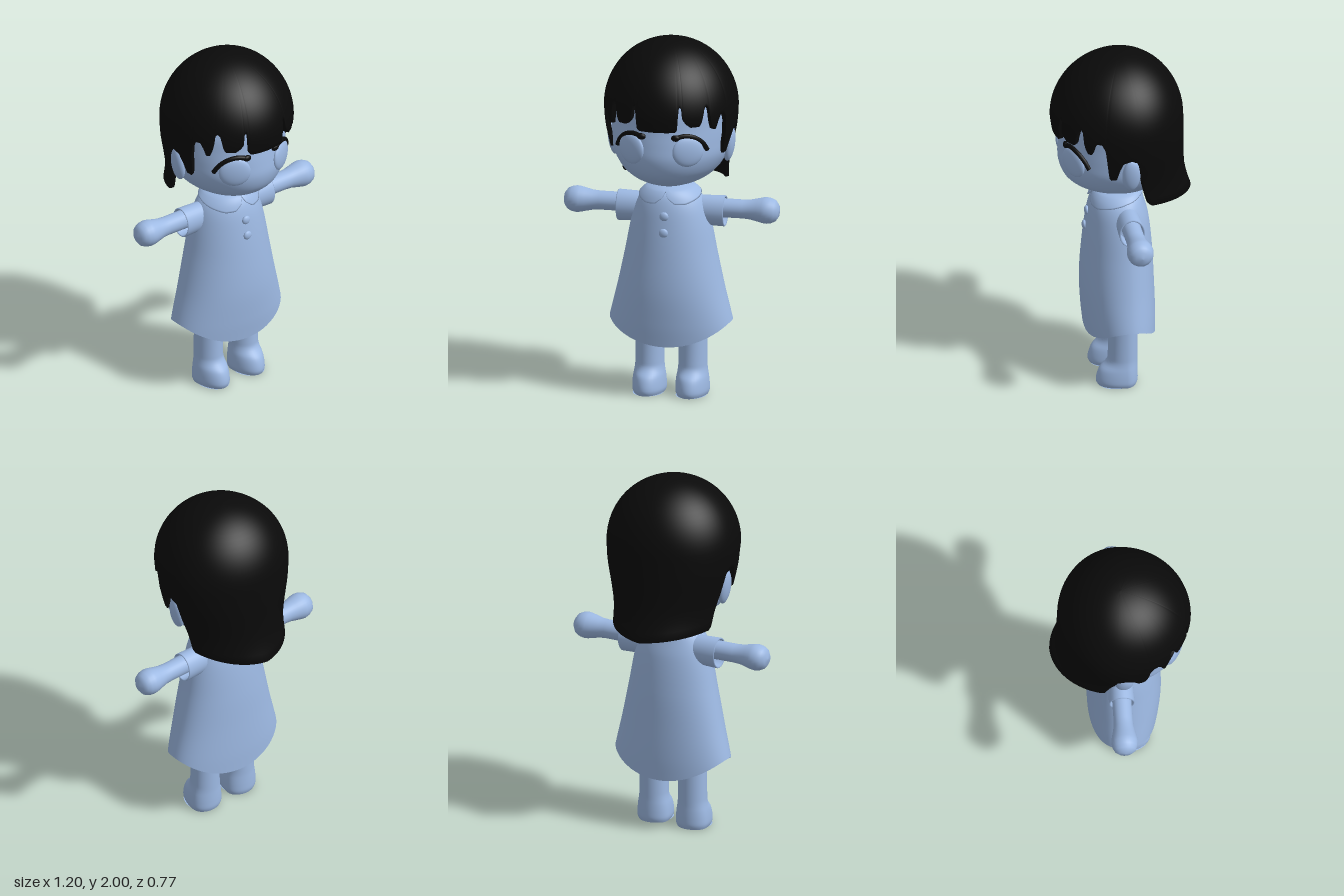
import * as THREE from 'three';

const skin = new THREE.MeshStandardMaterial({ color: 0x9db9e3, side: THREE.DoubleSide });
const black = new THREE.MeshStandardMaterial({ color: 0x0a0a0a, side: THREE.DoubleSide });

// Interpolates rows of [key, ...values]; smooth uses Hermite tangents
function interp(rows, k, smooth = true) {
  const last = rows.length - 1;
  const up = rows[0][0] < rows[last][0] ? 1 : -1;
  if ((k - rows[0][0]) * up <= 0) return rows[0].slice(1);
  if ((k - rows[last][0]) * up >= 0) return rows[last].slice(1);
  let i = 0;
  while ((k - rows[i + 1][0]) * up > 0) i++;
  const p = rows[i], q = rows[i + 1], h = q[0] - p[0], t = (k - p[0]) / h;
  const o = rows[Math.max(i - 1, 0)], r = rows[Math.min(i + 2, last)];
  return p.slice(1).map((v, n) => {
    const a = v, b = q[n + 1];
    if (!smooth) return a + (b - a) * t;
    const m0 = (b - o[n + 1]) / (q[0] - o[0]) * h, m1 = (r[n + 1] - a) / (r[0] - p[0]) * h;
    const t2 = t * t, t3 = t2 * t;
    return a * (2 * t3 - 3 * t2 + 1) + m0 * (t3 - 2 * t2 + t) + b * (3 * t2 - 2 * t3) + m1 * (t3 - t2);
  });
}

// Surface hanging from height top to hem(angle); profile(y) gives [half width, front z, back z].
// A thickness below 1 adds an inner layer scaled by that factor.
function drape({ profile, top, hem, cols = 64, rows = 24, inner = 0, ease = t => t }) {
  const pos = [], idx = [];
  const levels = [];
  for (let i = 0; i <= rows; i++) levels.push([i / rows, 1, 0]);
  if (inner) for (let i = rows; i >= 0; i -= 2) levels.push([i / rows, inner, 0.03 * (1 - i / rows)]);
  levels.forEach(([t, s, drop], i) => {
    for (let j = 0; j < cols; j++) {
      const a = (j / cols * 2 - 1) * Math.PI;
      const y = top - (top - hem(Math.abs(a))) * ease(t);
      const [w, zf, zb] = profile(y);
      const c = Math.cos(a);
      const mid = Math.abs(c) * (c > 0 ? zf : -zb) * Math.sign(c);
      pos.push(w * Math.sin(a) * s, y - drop, mid * s);
      if (i < levels.length - 1) {
        const k = (j + 1) % cols, A = i * cols, B = A + cols;
        idx.push(A + j, B + j, B + k, A + j, B + k, A + k);
      }
    }
  });
  const g = new THREE.BufferGeometry();
  g.setAttribute('position', new THREE.Float32BufferAttribute(pos, 3));
  g.setIndex(idx);
  g.computeVertexNormals();
  return g;
}

const headRows = [
  [1.92, 0.01, 0.01, -0.01], [1.85, 0.2, 0.2, -0.2], [1.75, 0.28, 0.28, -0.28], [1.65, 0.32, 0.315, -0.31],
  [1.55, 0.325, 0.325, -0.31], [1.46, 0.322, 0.338, -0.3], [1.38, 0.312, 0.343, -0.29], [1.3, 0.27, 0.318, -0.26],
  [1.25, 0.22, 0.27, -0.22], [1.22, 0.17, 0.215, -0.18], [1.2, 0.12, 0.16, -0.14], [1.18, 0.05, 0.07, -0.07]];
const headProfile = y => interp(headRows, y);
const faceZ = (x, y) => {
  const [w, zf] = headProfile(y);
  return zf * Math.sqrt(Math.max(0, 1 - (x / w) ** 2));
};

// Hair: domed crown above 1.63, straight fall below
const hairRows = [
  [1.63, 0.367, 0.385, -0.342], [1.56, 0.363, 0.375, -0.344], [1.5, 0.355, 0.365, -0.345], [1.4, 0.332, 0.35, -0.345],
  [1.3, 0.312, 0.34, -0.35], [1.22, 0.308, 0.34, -0.366], [1.155, 0.31, 0.34, -0.386]];
function hairProfile(y) {
  if (y <= 1.63) return interp(hairRows, y);
  const f = Math.sqrt(Math.max(0, 1 - ((y - 1.63) / 0.37) ** 2));
  return hairRows[0].slice(1).map(v => v * f);
}
// Hem by angle from the front: fringe, slots, side locks, ear arch, long back
const hairHem = [
  [0, 1.56], [0.28, 1.562], [0.32, 1.58], [0.335, 1.69], [0.36, 1.705], [0.39, 1.69], [0.405, 1.63], [0.46, 1.605],
  [0.52, 1.588], [0.66, 1.588], [0.7, 1.61], [0.75, 1.685], [0.79, 1.7], [0.83, 1.685], [0.86, 1.6], [0.9, 1.56],
  [0.96, 1.56], [1.0, 1.6], [1.05, 1.635], [1.13, 1.635], [1.18, 1.6], [1.2, 1.5], [1.22, 1.41], [1.25, 1.395],
  [1.34, 1.4], [1.39, 1.47], [1.44, 1.515], [1.56, 1.53], [1.68, 1.51], [1.72, 1.4], [1.85, 1.215], [1.9, 1.198],
  [Math.PI, 1.155]];

const dressRows = [
  [1.175, 0.08, 0.09, -0.09], [1.155, 0.13, 0.135, -0.11], [1.1, 0.18, 0.168, -0.125], [1.0, 0.215, 0.19, -0.15],
  [0.8, 0.255, 0.212, -0.17], [0.6, 0.298, 0.222, -0.178], [0.42, 0.342, 0.213, -0.182], [0.3, 0.365, 0.2, -0.18]];
const dressProfile = y => interp(dressRows, y);
const collarHem = [[0, 1.165], [0.1, 1.13], [0.3, 1.1], [0.6, 1.098], [1, 1.115], [1.6, 1.14], [2.4, 1.155], [Math.PI, 1.155]];

const legRows = [
  [0.5, 0.078, 0.09, -0.07], [0.16, 0.08, 0.092, -0.07], [0.13, 0.083, 0.105, -0.07], [0.1, 0.088, 0.135, -0.071],
  [0.06, 0.092, 0.152, -0.072], [0.02, 0.092, 0.157, -0.071], [0, 0.084, 0.148, -0.064]];

export function createModel() {
  const model = new THREE.Group();
  const add = (name, geometry, material = skin, parent = model) => {
    const m = new THREE.Mesh(geometry, material);
    m.name = name;
    parent.add(m);
    return m;
  };
  const lathe = pts => new THREE.LatheGeometry(pts.map(p => new THREE.Vector2(...p)), 32);
  const ball = new THREE.SphereGeometry(1, 32, 20);

  // Head, neck and hair
  add('head', drape({ profile: headProfile, top: 1.92, hem: () => 1.18, rows: 40 }));
  add('neck', new THREE.CylinderGeometry(0.075, 0.085, 0.16, 32, 1, true)).position.set(0, 1.18, 0.012);
  add('hair', drape({
    profile: hairProfile, top: 2, hem: a => interp(hairHem, a, false)[0],
    cols: 420, rows: 28, inner: 0.93, ease: t => 1 - Math.cos(t * Math.PI / 2),
  }), black);

  // Dress with collar and buttons
  add('dress', drape({ profile: dressProfile, top: 1.175, hem: a => 0.3 + 0.125 * Math.sin(a) ** 2, rows: 40 }));
  add('collar', drape({
    profile: y => dressProfile(y - 0.012).map(v => v + Math.sign(v) * 0.008),
    top: 1.187, hem: a => interp(collarHem, a, false)[0], cols: 128, rows: 10, inner: 0.95,
  }));
  for (const y of [1.035, 0.945]) {
    const button = add('button', ball);
    button.scale.set(0.025, 0.025, 0.014);
    button.position.set(0, y, dressProfile(y)[1] + 0.002);
  }

  for (const s of [1, -1]) {
    const side = s > 0 ? 'left' : 'right';

    // Eye set into the face, with a heavy upper lash
    const eye = add(side + 'Eye', ball);
    eye.scale.set(0.088, 0.085, 0.026);
    eye.position.set(s * 0.157, 1.44, faceZ(0.157, 1.44) - 0.008);
    eye.rotation.y = s * 0.53;
    const lashPoints = [[0.25, 1.44], [0.228, 1.485], [0.19, 1.518], [0.145, 1.53], [0.095, 1.52]]
      .map(([x, y]) => new THREE.Vector3(s * x, y, faceZ(x, y) + 0.006));
    add(side + 'Lash', new THREE.TubeGeometry(new THREE.CatmullRomCurve3(lashPoints), 32, 0.013, 10), black);
    const lashTip = add(side + 'LashTip', ball, black);
    lashTip.scale.set(0.024, 0.018, 0.014);
    lashTip.position.copy(lashPoints[4]);

    const ear = add(side + 'Ear', ball);
    ear.scale.set(0.03, 0.1, 0.05);
    ear.position.set(s * 0.323, 1.42, 0);
    ear.rotation.z = -s * 0.12;

    // Arm with rounded hand, inside a hollow sleeve
    const arm = new THREE.Group();
    arm.name = side + 'ArmGroup';
    arm.position.set(0, 1.05, -0.01);
    arm.rotation.z = -s * Math.PI / 2;
    model.add(arm);
    add(side + 'Arm', lathe([[0.053, 0.14], [0.052, 0.4], [0.055, 0.44], [0.064, 0.48], [0.071, 0.51],
      [0.073, 0.53], [0.069, 0.555], [0.058, 0.578], [0.035, 0.595], [0, 0.6]]), skin, arm);
    const sleeve = add(side + 'Sleeve', lathe([[0.08, 0.1], [0.083, 0.2], [0.086, 0.295], [0.082, 0.3],
      [0.076, 0.296], [0.073, 0.2]]), skin, arm);
    sleeve.position.x = s * 0.017;
    sleeve.scale.z = 0.82;

    // Leg running into a rounded shoe
    const leg = add(side + 'Leg', drape({ profile: y => interp(legRows, y), top: 0.5, hem: () => 0, cols: 40, rows: 50 }));
    leg.position.x = s * 0.12;
    const sole = add(side + 'Sole', new THREE.CircleGeometry(1, 40));
    sole.rotation.x = Math.PI / 2;
    sole.scale.set(0.084, 0.106, 1);
    sole.position.set(s * 0.12, 0.001, 0.042);
  }
  return model;
}
